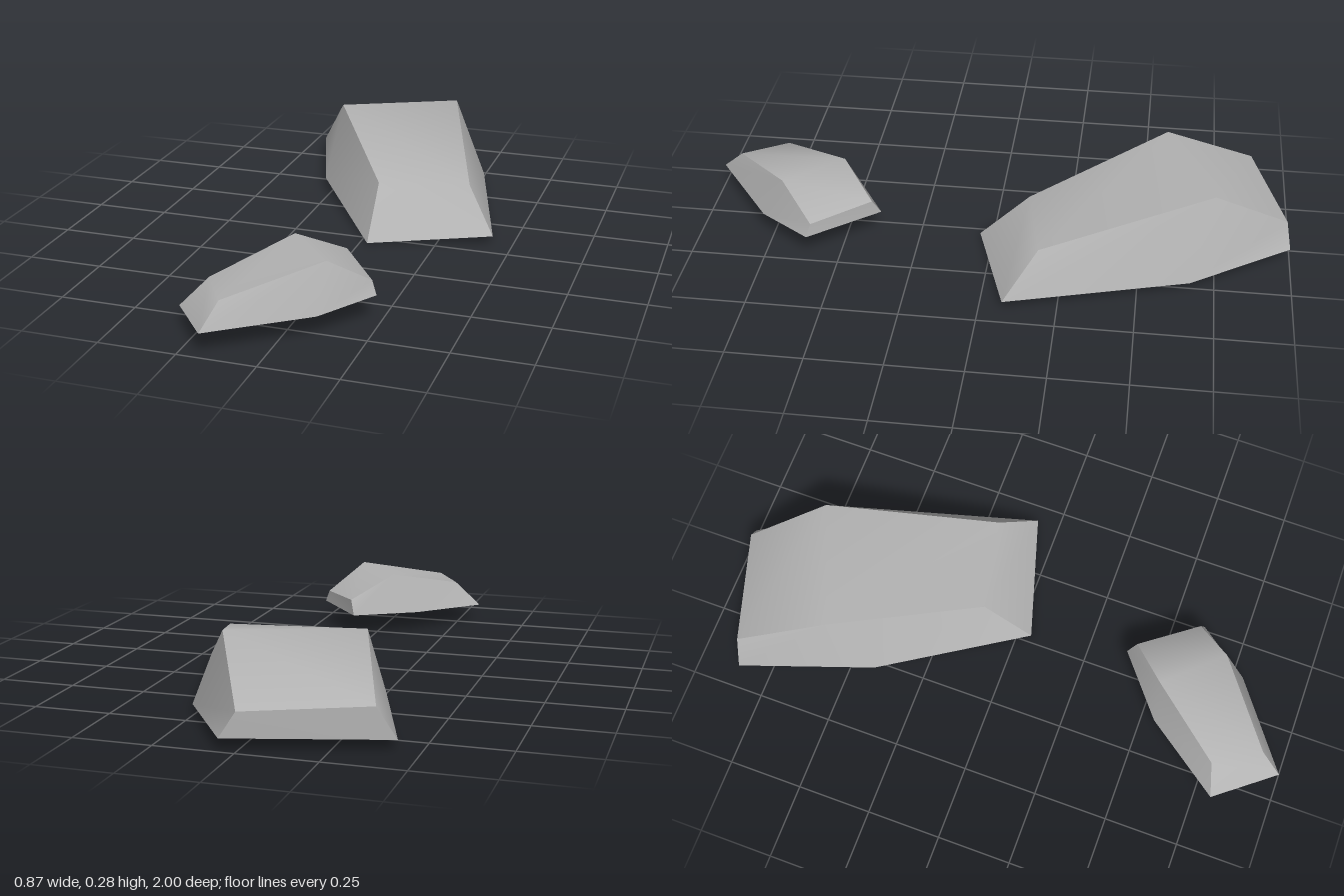
import * as THREE from 'three';

const shellGrey = new THREE.MeshStandardMaterial({ color: 0xb2b2b2, side: THREE.DoubleSide });
shellGrey.name = 'shellGrey';

// Smooth strip of quads through pairs of points; strips meet each other at sharp edges.
function strip(name, pairs) {
  const geometry = new THREE.BufferGeometry();
  geometry.setAttribute('position', new THREE.Float32BufferAttribute(pairs.flat(2), 3));
  const index = [];
  for (let i = 0; i < pairs.length - 1; i++) {
    const k = i * 2;
    index.push(k, k + 2, k + 3, k, k + 3, k + 1);
  }
  geometry.setIndex(index);
  geometry.computeVertexNormals();
  const mesh = new THREE.Mesh(geometry, shellGrey);
  mesh.name = name;
  return mesh;
}

// Open-bottomed shell: rims and shoulders run from back to front on each side.
function shell(name, { leftRim, leftTop, rightTop, rightRim }) {
  const group = new THREE.Group();
  group.name = name;
  const pair = (a, b) => a.map((p, i) => [p, b[i]]);
  const last = leftRim.length - 1;
  group.add(
    strip('topPanel', [...pair(leftTop, rightTop), [leftRim[last], rightRim[last]]]),
    strip('leftFlank', pair(leftRim, leftTop)),
    strip('rightFlank', pair(rightTop, rightRim)),
    strip('backPanel', [[leftRim[0], rightRim[0]], [leftTop[0], rightTop[0]]]),
  );
  return group;
}

export function createModel() {
  const model = new THREE.Group();
  model.name = 'shellPair';
  model.add(
    shell('largeShell', {
      leftRim: [[-0.435, 0.038, -0.855], [-0.283, 0.04, -0.415], [0.025, 0.002, 0.047]],
      leftTop: [[-0.375, 0.135, -0.87], [-0.265, 0.28, -0.57], [0.015, 0.16, -0.12]],
      rightTop: [[0.0, 0.12, -0.985], [0.132, 0.286, -0.735], [0.323, 0.165, -0.18]],
      rightRim: [[0.048, 0.042, -1.0], [0.26, 0.03, -0.67], [0.433, 0.03, -0.075]],
    }),
    shell('smallShell', {
      leftRim: [[0.057, 0.085, 0.383], [-0.142, 0.075, 0.547], [-0.324, 0.06, 0.805]],
      leftTop: [[0.075, 0.137, 0.41], [-0.055, 0.217, 0.525], [-0.238, 0.15, 0.77]],
      rightTop: [[0.215, 0.125, 0.592], [0.11, 0.221, 0.705], [-0.145, 0.152, 0.918]],
      rightRim: [[0.233, 0.083, 0.605], [0.105, 0.075, 0.783], [-0.178, 0.077, 0.995]],
    }),
  );
  return model;
}
